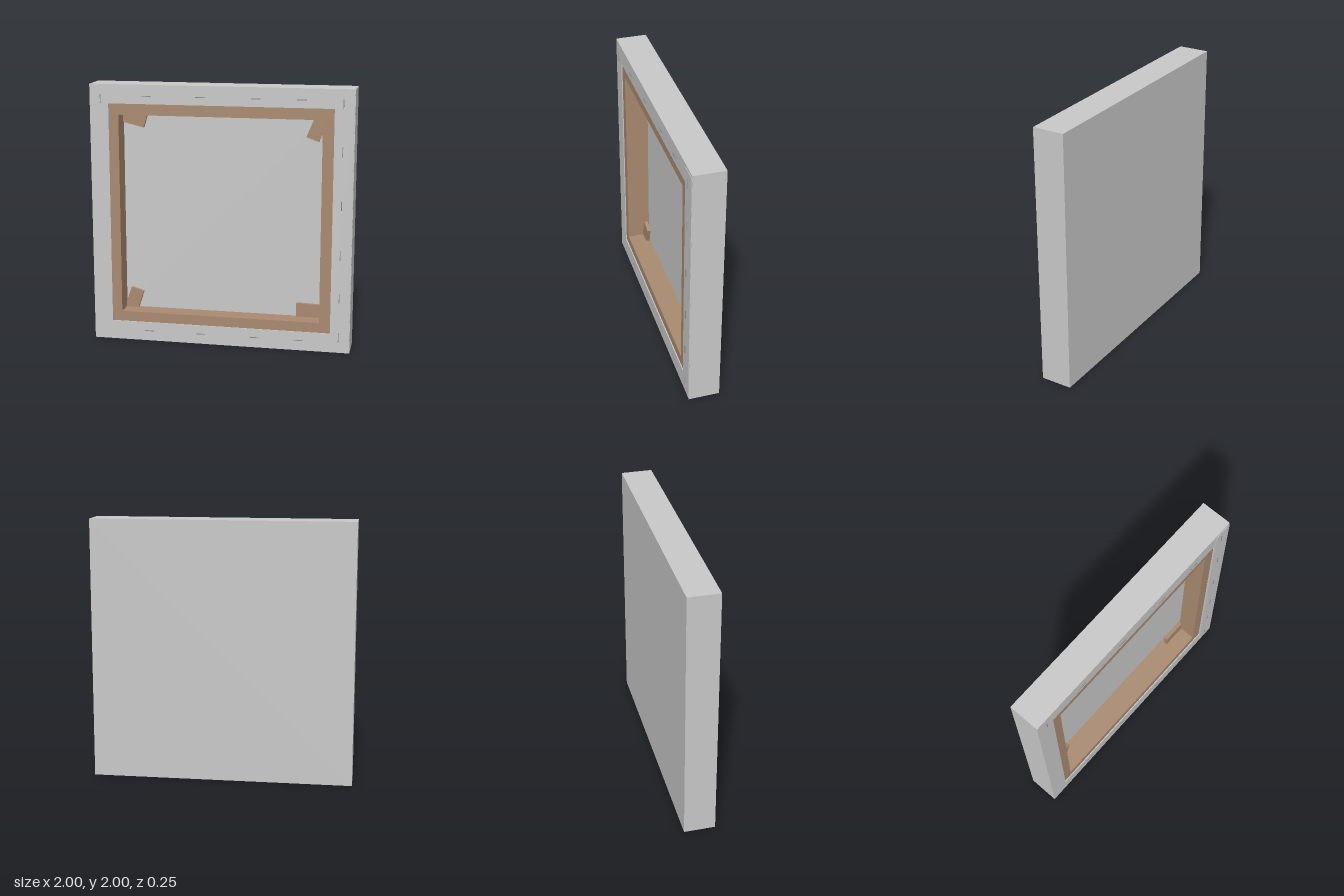
import * as THREE from 'three';

export function createModel() {
  const model = new THREE.Group();
  const material = (name, color) => {
    const m = new THREE.MeshStandardMaterial({ color });
    m.name = name;
    return m;
  };
  const cloth = material('canvasGrey', 0xc9c9c9);
  const wood = material('woodBrown', 0xa98a70);
  const metal = material('stapleGrey', 0x8c8c8c);

  const add = (name, geometry, mat, parent = model) => {
    const mesh = new THREE.Mesh(geometry, mat);
    mesh.name = name;
    parent.add(mesh);
    return mesh;
  };
  // Flat outline extruded between two z levels, with an optional hole
  const slab = (points, z0, z1, hole) => {
    const shape = new THREE.Shape(points.map(p => new THREE.Vector2(...p)));
    if (hole) shape.holes.push(new THREE.Path(hole.map(p => new THREE.Vector2(...p))));
    const g = new THREE.ExtrudeGeometry(shape, { depth: z1 - z0, bevelEnabled: false });
    return g.translate(0, 0, z0);
  };
  const rect = (x0, y0, x1, y1) => [[x0, y0], [x1, y0], [x1, y1], [x0, y1]];

  // Cloth: painted face, wrapped sides and the hem folded over the frame
  const outer = rect(-1, 0, 1, 2);
  add('canvasFace', slab(outer, -0.122, -0.114), cloth);
  add('canvasSides', slab(outer, -0.114, 0.108, rect(-0.99, 0.01, 0.99, 1.99)), cloth);
  add('foldedHem', slab(outer, 0.108, 0.116, rect(-0.855, 0.147, 0.85, 1.855)), cloth);
  add('overlappingHem', slab(rect(0.855, 0.02, 0.998, 1.98), 0.116, 0.12), cloth);

  // Four mitred stretcher bars, each with a bead that lifts the cloth
  const out = rect(-0.99, 0.01, 0.99, 1.99);
  const inn = rect(-0.78, 0.225, 0.765, 1.77);
  const bead = rect(-0.94, 0.06, 0.94, 1.94);
  ['bottomBar', 'rightSideBar', 'topBar', 'leftSideBar'].forEach((name, i) => {
    const j = (i + 1) % 4;
    const bar = new THREE.Group();
    bar.name = name;
    model.add(bar);
    add('barBody', slab([out[i], out[j], inn[j], inn[i]], -0.04, 0.108), wood, bar);
    add('barBead', slab([out[i], out[j], bead[j], bead[i]], -0.114, -0.04), wood, bar);
  });

  // Loose corner wedges tucked into the bars
  [
    [[-0.79, 1.70], [-0.62, 1.66], [-0.592, 1.755], [-0.65, 1.78], [-0.79, 1.78]],
    [[0.63, 1.622], [0.725, 1.588], [0.79, 1.75], [0.775, 1.78], [0.695, 1.78]],
    [[-0.79, 0.215], [-0.685, 0.215], [-0.64, 0.355], [-0.737, 0.385], [-0.79, 0.24]],
    [[0.572, 0.215], [0.78, 0.215], [0.78, 0.323], [0.572, 0.33]],
  ].forEach(p => add('cornerWedge', slab(p, -0.048, -0.02), wood));

  // Staples along the hem: a crown with two short legs
  const staple = (x, y, z, upright) => {
    const s = new THREE.Group();
    s.name = 'staple';
    add('crown', new THREE.BoxGeometry(0.07, 0.006, 0.003), metal, s).position.z = 0.0045;
    for (const side of [-1, 1]) {
      add('leg', new THREE.BoxGeometry(0.006, 0.006, 0.006), metal, s).position.set(side * 0.032, 0, 0.001);
    }
    s.position.set(x, y, z);
    if (upright) s.rotation.z = Math.PI / 2;
    model.add(s);
  };
  for (const x of [-0.56, -0.15, 0.27, 0.61]) {
    staple(x, 1.915, 0.116, false);
    staple(x, 0.08, 0.116, false);
  }
  for (const y of [0.12, 0.43, 0.76, 1.14, 1.54, 1.89]) staple(0.915, y, 0.119, true);
  staple(-0.915, 1.89, 0.116, true);

  return model;
}
